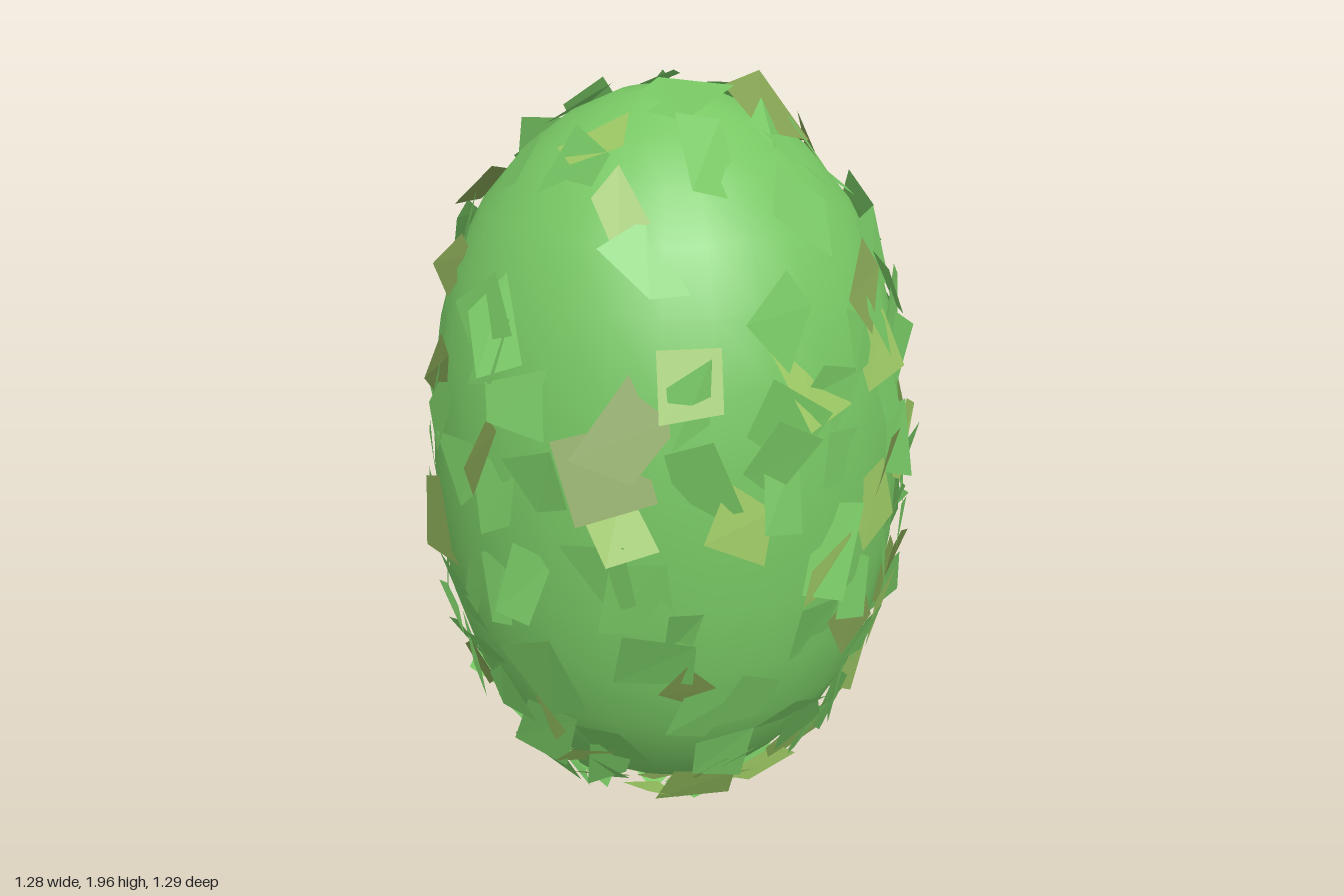
import * as THREE from 'three';
import { mergeGeometries } from 'three/addons/utils/BufferGeometryUtils.js';

const RX = 0.6, RY = 0.935, CY = 1.03;

// Small seeded generator
function seeded(seed) {
  return () => {
    seed = (seed * 16807) % 2147483647;
    return seed / 2147483647;
  };
}

// Point on the egg-shaped core for a unit direction; the shoulders are a little full
function corePoint(dir) {
  const full = 1 + 0.22 * (dir.x * dir.x + dir.z * dir.z) * dir.y * dir.y;
  return new THREE.Vector3(dir.x * RX * full, CY + dir.y * RY, dir.z * RX * full);
}

// One irregular four-cornered leaf, lying in its own xy plane
function leafQuad(rand) {
  const w = 0.045 + rand() * 0.033, h = 0.06 + rand() * 0.045;
  const g = new THREE.PlaneGeometry(w * 2, h * 2);
  const p = g.attributes.position;
  for (let i = 0; i < 4; i++) {
    p.setXYZ(i,
      p.getX(i) + (rand() - 0.5) * 0.06,
      p.getY(i) + (rand() - 0.5) * 0.07,
      (rand() - 0.5) * 0.015);
  }
  return g;
}

export function createModel() {
  const group = new THREE.Group();
  group.name = 'bush';
  const rand = seeded(4711);
  const between = (a, b) => a + rand() * (b - a);

  // Smooth rounded core
  const core = new THREE.SphereGeometry(1, 28, 16);
  const pos = core.attributes.position;
  for (let i = 0; i < pos.count; i++) {
    const p = corePoint(new THREE.Vector3().fromBufferAttribute(pos, i));
    pos.setXYZ(i, p.x, p.y, p.z);
  }
  core.computeVertexNormals();
  const coreMesh = new THREE.Mesh(core, new THREE.MeshStandardMaterial({ color: 0x78c864 }));
  coreMesh.name = 'foliageCore';
  group.add(coreMesh);

  // Leaves spread evenly round the core, thinner towards the top and front
  const shades = [
    { name: 'greenLeaves', color: 0x78c864, share: 0.74, parts: [] },
    { name: 'yellowGreenLeaves', color: 0x9cc864, share: 0.14, parts: [] },
    { name: 'oliveLeaves', color: 0x82a052, share: 0.12, parts: [] },
  ];
  const COUNT = 430;
  const up = new THREE.Vector3(0, 1, 0);
  const frame = new THREE.Matrix4();
  for (let i = 0; i < COUNT; i++) {
    const v = 1 - 2 * (i + 0.5) / COUNT;
    const a = i * 2.39996 + between(-0.2, 0.2);
    const r = Math.sqrt(1 - v * v);
    const dir = new THREE.Vector3(Math.sin(a) * r, v, Math.cos(a) * r);
    const keep = 0.85 - 0.4 * Math.max(dir.z, 0) - 0.3 * Math.max(v, 0);
    if (rand() > keep) continue;

    const normal = new THREE.Vector3(dir.x / RX, dir.y / RY, dir.z / RX).normalize();
    const side = new THREE.Vector3().crossVectors(up, normal).normalize();
    const rise = new THREE.Vector3().crossVectors(normal, side);
    // Leaves hang a little further off the underside
    const lift = between(0, 0.022) + 0.03 * Math.max(-v, 0) ** 4;
    frame.makeBasis(side, rise, normal)
      .setPosition(corePoint(dir).addScaledVector(normal, lift));

    const leaf = leafQuad(rand);
    leaf.rotateZ(between(-0.4, 0.4) * (1 + 2 * Math.abs(v)));
    leaf.rotateX(between(-0.32, 0.32));
    leaf.rotateY(between(-0.32, 0.32));
    leaf.applyMatrix4(frame);

    // Leave out any leaf that would poke through the ground or past the top
    leaf.computeBoundingBox();
    if (leaf.boundingBox.min.y < 0 || leaf.boundingBox.max.y > 2) continue;

    let pick = rand(), s = 0;
    while (s < 2 && pick > shades[s].share) pick -= shades[s++].share;
    shades[s].parts.push(leaf);
  }
  for (const { name, color, parts } of shades) {
    const mesh = new THREE.Mesh(mergeGeometries(parts), new THREE.MeshStandardMaterial({
      color, flatShading: true, side: THREE.DoubleSide,
    }));
    mesh.name = name;
    group.add(mesh);
  }
  return group;
}
